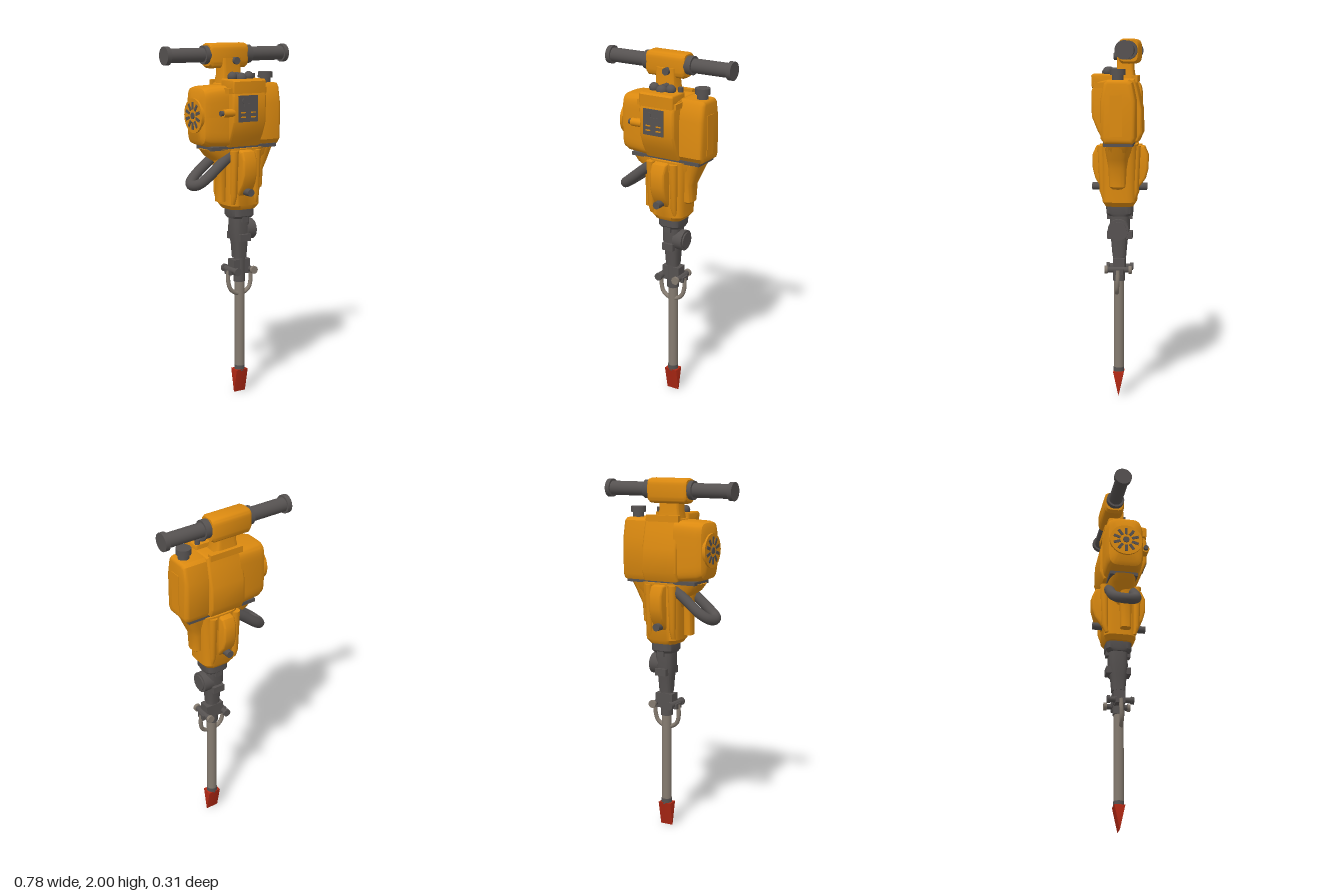
import * as THREE from 'three';
import { toCreasedNormals } from 'three/addons/utils/BufferGeometryUtils.js';

export function createModel() {
  const root = new THREE.Group();
  root.name = 'rockDrill';
  const mat = (name, color) => {
    const m = new THREE.MeshStandardMaterial({ color });
    m.name = name;
    return m;
  };
  const orange = mat('orangePaint', 0xdc8a10);
  const dark = mat('darkRubber', 0x565251);
  const steel = mat('rodSteel', 0x857b70);
  const red = mat('redTip', 0xb02814);

  const add = (name, geo, m, x = 0, y = 0, z = 0) => {
    const mesh = new THREE.Mesh(geo, m);
    mesh.name = name;
    mesh.position.set(x, y, z);
    root.add(mesh);
    return mesh;
  };
  const box = (name, m, x0, x1, y0, y1, z0, z1) =>
    add(name, new THREE.BoxGeometry(x1 - x0, y1 - y0, z1 - z0), m, (x0 + x1) / 2, (y0 + y1) / 2, (z0 + z1) / 2);
  const ball = (name, m, r, x, y, z) => add(name, new THREE.SphereGeometry(r, 16, 12), m, x, y, z);

  // Cylinder between t0 and t1 along an axis; a and b are the other two coordinates
  const cyl = (name, m, axis, r, t0, t1, a, b, r1 = r) => {
    const g = new THREE.CylinderGeometry(r1, r, t1 - t0, 24);
    const mid = (t0 + t1) / 2;
    if (axis === 'x') return add(name, g.rotateZ(-Math.PI / 2), m, mid, a, b);
    if (axis === 'z') return add(name, g.rotateX(Math.PI / 2), m, a, b, mid);
    return add(name, g, m, a, mid, b);
  };

  // Rounded sections [t, centreA, centreB, halfA, halfB, power] lofted along y (a=x, b=z) or x (a=z, b=y)
  const loft = (name, m, axis, sections, n = 32) => {
    const v = [];
    const put = (t, a, b) => (axis === 'y' ? v.push(a, t, b) : v.push(t, b, a));
    const at = (s, j) => {
      const q = (j / n) * Math.PI * 2, e = 2 / (s[5] || 4);
      const c = Math.cos(q), d = Math.sin(q);
      put(s[0], s[1] + s[3] * Math.sign(c) * Math.abs(c) ** e, s[2] + s[4] * Math.sign(d) * Math.abs(d) ** e);
    };
    const last = sections.length - 1;
    for (let j = 0; j < n; j++) {
      for (let i = 0; i < last; i++) {
        const p = sections[i], q = sections[i + 1];
        at(p, j); at(q, j); at(q, j + 1);
        at(p, j); at(q, j + 1); at(p, j + 1);
      }
      const s = sections[0], e = sections[last];
      put(s[0], s[1], s[2]); at(s, j); at(s, j + 1);
      put(e[0], e[1], e[2]); at(e, j + 1); at(e, j);
    }
    const g = new THREE.BufferGeometry();
    g.setAttribute('position', new THREE.Float32BufferAttribute(v, 3));
    return add(name, toCreasedNormals(g, 0.6), m);
  };

  // Side outline of [z, y] points extruded from x0 to x1 with bevelled edges
  const slab = (name, m, pts, x0, x1, bevel) => {
    const shape = new THREE.Shape(pts.map(([z, y]) => new THREE.Vector2(-z, y)));
    const g = new THREE.ExtrudeGeometry(shape, {
      depth: x1 - x0 - 2 * bevel, bevelSize: bevel, bevelThickness: bevel, bevelOffset: -bevel, bevelSegments: 3,
    });
    g.rotateY(Math.PI / 2).translate(x0 + bevel, 0, 0);
    return add(name, toCreasedNormals(g, 0.6), m);
  };
  const tube = (name, m, pts, r) => add(name, new THREE.TubeGeometry(
    new THREE.CatmullRomCurve3(pts.map((p) => new THREE.Vector3(...p))), 40, r, 14), m);

  // Top handle: orange hub, grips, collars and end flanges
  loft('handleHub', orange, 'x', [
    [-0.125, -0.052, 1.935, 0.05, 0.058, 4], [-0.11, -0.052, 1.932, 0.058, 0.068, 4],
    [0.1, -0.052, 1.932, 0.058, 0.068, 4], [0.115, -0.052, 1.935, 0.05, 0.06, 4]]);
  for (const s of [-1, 1]) {
    const along = (name, r, a, b) => cyl(name, dark, 'x', r, Math.min(s * a, s * b), Math.max(s * a, s * b), 1.937, -0.05);
    along('handleCollar', 0.051, 0.105, 0.15);
    along('handleGrip', 0.039, 0.14, 0.37);
    along('handleFlange', 0.05, 0.364, 0.39);
  }
  loft('handleNeck', orange, 'y', [
    [1.76, 0.005, -0.03, 0.075, 0.055, 6], [1.83, 0.003, -0.028, 0.06, 0.047, 6], [1.92, 0.003, -0.027, 0.058, 0.046, 6]]);
  cyl('neckButton', dark, 'z', 0.02, 0.01, 0.036, 0.02, 1.905);

  // Control cluster on top
  slab('topCover', orange, [[0.147, 1.735], [0.15, 1.8], [0.14, 1.81], [0.02, 1.81], [0.02, 1.735]], -0.075, 0.135, 0.008);
  box('topLip', orange, -0.095, 0.15, 1.735, 1.765, 0.01, 0.135);
  for (const x of [-0.03, 0.075]) ball('controlKnob', dark, 0.027, x, 1.822, 0.065);
  ball('controlKnobCentre', dark, 0.031, 0.022, 1.812, 0.072);
  cyl('controlStem', dark, 'z', 0.018, 0.015, 0.06, 0.022, 1.825);
  cyl('ventPin', dark, 'y', 0.014, 1.76, 1.835, 0.118, 0.037);
  box('rearShelf', orange, -0.075, 0.125, 1.765, 1.8, -0.1, -0.07);

  // Upper body: centre cover, engine shroud, fuel tank
  slab('centreCover', orange, [
    [0.08, 1.44], [0.115, 1.5], [0.148, 1.58], [0.148, 1.72], [0.13, 1.765], [0.05, 1.785], [-0.085, 1.785],
    [-0.1, 1.73], [-0.125, 1.62], [-0.128, 1.49], [-0.105, 1.44]], -0.075, 0.14, 0.014);
  loft('engineShroud', orange, 'x', [
    [-0.228, -0.005, 1.612, 0.075, 0.13, 5], [-0.215, -0.005, 1.612, 0.095, 0.152, 5],
    [-0.185, -0.005, 1.61, 0.107, 0.162, 5], [-0.05, -0.005, 1.608, 0.108, 0.168, 6]], 40);
  slab('fuelTank', orange, [
    [0.065, 1.44], [0.088, 1.47], [0.088, 1.67], [0.07, 1.76], [0.055, 1.78], [-0.06, 1.78], [-0.08, 1.765],
    [-0.1, 1.67], [-0.1, 1.47], [-0.085, 1.44]], 0.12, 0.28, 0.022);
  box('tankRib', orange, 0.277, 0.283, 1.48, 1.7, -0.03, 0.035);
  cyl('fillerNeck', dark, 'y', 0.031, 1.77, 1.81, 0.23, -0.003);
  cyl('fuelCap', dark, 'y', 0.041, 1.806, 1.838, 0.23, -0.003);
  box('bodySeam', dark, -0.17, 0.255, 1.425, 1.445, -0.085, 0.075);

  // Starter cover with radial slots
  cyl('starterCover', orange, 'x', 0.094, -0.238, -0.22, 1.615, -0.005);
  cyl('starterHub', dark, 'x', 0.018, -0.243, -0.23, 1.615, -0.005);
  for (let i = 0; i < 10; i++) {
    const q = (i / 10) * Math.PI * 2;
    const slot = add('starterSlot', new THREE.BoxGeometry(0.006, 0.04, 0.016), dark,
      -0.2385, 1.615 + 0.055 * Math.cos(q), -0.005 + 0.055 * Math.sin(q));
    slot.rotation.x = q;
  }

  // Front plate with raised details
  box('frontPlate', dark, -0.045, 0.08, 1.582, 1.725, 0.147, 0.152);
  for (const y of [1.605, 1.63]) for (const x of [-0.03, 0.035]) box('plateBar', orange, x, x + 0.03, y, y + 0.007, 0.151, 0.154);
  box('plateLever', dark, -0.01, 0.05, 1.665, 1.68, 0.15, 0.156);
  cyl('plateButton', dark, 'z', 0.014, 0.15, 0.156, -0.01, 1.695);
  cyl('throttleTube', orange, 'x', 0.022, -0.13, -0.065, 1.633, 0.13);
  cyl('throttleEnd', dark, 'x', 0.014, -0.147, -0.125, 1.633, 0.13);
  box('throttleBracket', orange, -0.115, -0.07, 1.615, 1.65, 0.09, 0.13);

  // Lower housing with flared shoulders
  loft('lowerHousing', orange, 'y', [
    [1.085, 0.05, 0, 0.08, 0.078, 4], [1.11, 0.05, 0, 0.1, 0.094, 4],
    [1.25, 0.05, -0.002, 0.105, 0.095, 4], [1.43, 0.055, -0.004, 0.115, 0.1, 4]]);
  loft('shoulder', orange, 'y', [
    [1.28, 0.06, 0, 0.11, 0.05, 3], [1.35, 0.055, 0, 0.15, 0.062, 3],
    [1.39, 0.04, 0, 0.195, 0.072, 4], [1.43, 0.035, -0.002, 0.22, 0.08, 4]]);
  const ridge = (name, s, z, x0, x1) => slab(name, orange, [
    [0.06, 1.15], [0.095, 1.17], [z - 0.015, 1.235], [z, 1.29], [z, 1.37], [z - 0.02, 1.415], [0.06, 1.43],
  ].map(([a, y]) => [s * a, y]), x0, x1, 0.012);
  ridge('frontRidge', 1, 0.15, -0.01, 0.08);
  ridge('rearRidge', -1, 0.157, 0, 0.078);
  for (const s of [-1, 1]) {
    cyl('housingBolt', dark, 'z', 0.021, s > 0 ? 0.08 : -0.15, s > 0 ? 0.155 : -0.08, 0.036, 1.19);
    for (const x of [-0.035, 0.11]) {
      loft('housingRib', orange, 'y', [
        [1.12, x, s * 0.08, 0.012, 0.01, 2], [1.17, x, s * 0.09, 0.018, 0.018, 2], [1.42, x, s * 0.095, 0.024, 0.024, 2]], 16);
    }
  }
  loft('sidePipe', orange, 'y', [
    [1.135, -0.08, 0.02, 0.024, 0.03, 3], [1.34, -0.08, 0.02, 0.026, 0.034, 3], [1.42, -0.1, 0.02, 0.035, 0.045, 3]], 20);
  loft('exhaustBulge', orange, 'y', [
    [1.185, 0.155, 0.005, 0.02, 0.025, 2.5], [1.2, 0.16, 0.005, 0.03, 0.045, 2.5], [1.3, 0.16, 0.004, 0.036, 0.05, 2.5],
    [1.35, 0.175, 0.003, 0.045, 0.058, 2.5], [1.42, 0.19, 0, 0.06, 0.072, 2.5]], 24);

  // Bent carrying loop
  tube('carryLoop', dark, [
    [-0.03, 1.4, -0.07], [-0.1, 1.35, -0.072], [-0.19, 1.277, -0.07], [-0.232, 1.245, -0.045], [-0.247, 1.234, 0],
    [-0.232, 1.245, 0.045], [-0.19, 1.277, 0.06], [-0.1, 1.35, 0.062], [-0.03, 1.4, 0.06]], 0.029);

  // Chuck
  loft('chuckCollar', dark, 'y', [
    [1.03, 0.055, 0, 0.062, 0.062, 3], [1.045, 0.055, 0, 0.067, 0.074, 4], [1.092, 0.055, 0, 0.067, 0.075, 4]]);
  loft('chuckBody', dark, 'y', [
    [0.8, 0.055, 0.003, 0.037, 0.038, 3], [0.88, 0.055, 0.003, 0.042, 0.045, 3],
    [0.95, 0.053, 0, 0.052, 0.055, 3], [1.04, 0.055, 0, 0.052, 0.055, 3]]);
  box('chuckLug', dark, 0.02, 0.09, 0.9, 0.94, -0.07, 0.07);
  cyl('chuckKnob', dark, 'x', 0.058, 0.08, 0.137, 0.957, 0.003);
  cyl('chuckKnobFace', dark, 'x', 0.045, 0.135, 0.145, 0.957, 0.003);
  for (const s of [-1, 1]) box('collarLug', dark, 0.035, 0.075, 1.01, 1.06, s * 0.062 - 0.008, s * 0.062 + 0.008);

  // Tool retainer with cross pins and wire loop
  cyl('retainerNeck', dark, 'y', 0.034, 0.66, 0.82, 0.055, 0.005);
  box('retainerBlock', dark, 0.002, 0.11, 0.715, 0.79, -0.03, 0.035);
  box('retainerYoke', dark, -0.025, 0.135, 0.705, 0.735, -0.025, 0.03);
  for (const x of [0.0, 0.11]) cyl('retainerPin', dark, 'z', 0.016, -0.06, 0.07, x, 0.73);
  for (const z of [-0.062, 0.072]) for (const x of [0.0, 0.11]) cyl('pinHead', x > 0.05 ? steel : dark, 'z', 0.022, z - 0.008, z + 0.008, x, 0.73);
  tube('retainerLoop', steel, [
    [-0.018, 0.73, 0.005], [-0.02, 0.66, 0.008], [-0.002, 0.613, 0.012], [0.055, 0.588, 0.015],
    [0.112, 0.613, 0.012], [0.13, 0.66, 0.008], [0.128, 0.73, 0.005]], 0.012);

  // Drill rod and wedge tip
  cyl('drillRod', steel, 'y', 0.028, 0.15, 0.69, 0.057, 0.006);
  cyl('rodCollar', dark, 'y', 0.03, 0.13, 0.162, 0.057, 0.006);
  slab('chiselTip', red, [[0.006, 0], [0.036, 0.138], [-0.024, 0.138]], 0.019, 0.095, 0.001);
  return root;
}
